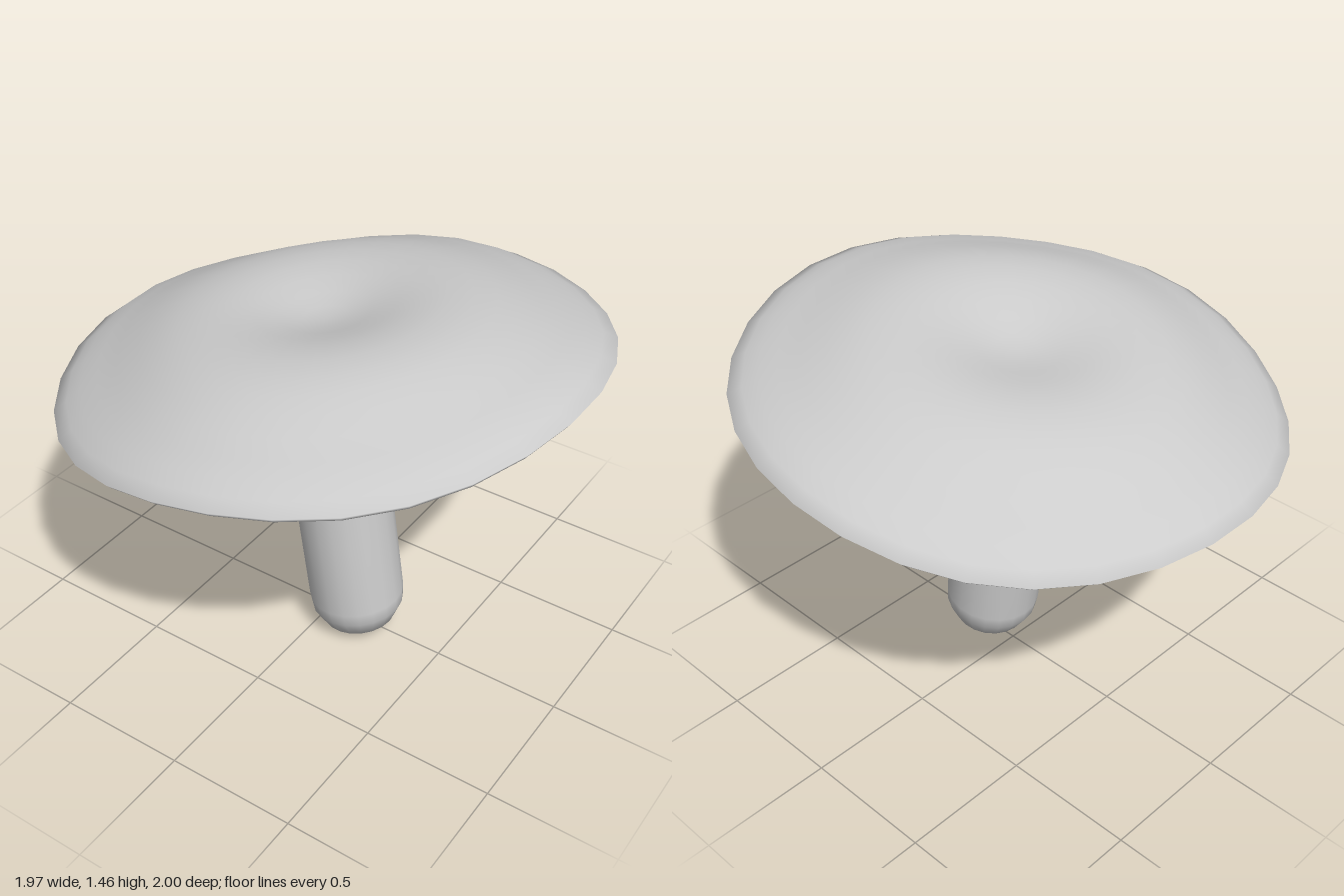
import * as THREE from 'three';
import { mergeVertices } from 'three/addons/utils/BufferGeometryUtils.js';

const material = new THREE.MeshStandardMaterial({ color: 0xcccccc });

// Revolve a profile, optionally bend it, and weld the seam for smooth normals
function revolve(name, points, sides, bend) {
  let geo = new THREE.LatheGeometry(points, sides);
  geo.deleteAttribute('uv');
  geo.deleteAttribute('normal');
  geo = mergeVertices(geo, 1e-4);
  if (bend) {
    const p = geo.attributes.position;
    for (let i = 0; i < p.count; i++) {
      p.setY(i, p.getY(i) + bend(p.getX(i), p.getZ(i)));
    }
  }
  geo.computeVertexNormals();
  const mesh = new THREE.Mesh(geo, material);
  mesh.name = name;
  return mesh;
}

const toPoints = (list) => list.map(([r, y]) => new THREE.Vector2(r, y));

// Uneven droop of the brim, growing toward the edge
function brimDroop(x, z) {
  const weight = THREE.MathUtils.smoothstep(Math.hypot(x, z), 0.45, 0.95);
  const angle = Math.atan2(z, x);
  const frontRight = Math.max(0, Math.cos(angle - 2.15));
  return -weight * (0.015 * Math.sin(angle) ** 2
    + 0.028 * Math.sin(2 * angle) ** 2
    + 0.022 * frontRight ** 6);
}

export function createModel() {
  const model = new THREE.Group();
  model.name = 'mushroom';

  // Cap: flared underside, thin brim, domed top with a central dimple
  const cap = revolve('cap', toPoints([
    [0.14, -0.15], [0.185, -0.115], [0.24, -0.085], [0.31, -0.058],
    [0.42, -0.005], [0.54, 0.035], [0.65, 0.045], [0.76, 0.03],
    [0.86, 0.0], [0.935, -0.03], [0.98, -0.022], [1.0, 0.0],
    [0.95, 0.03], [0.895, 0.066], [0.83, 0.085], [0.75, 0.118], [0.67, 0.145],
    [0.6, 0.168], [0.52, 0.185], [0.43, 0.195], [0.34, 0.192],
    [0.25, 0.178], [0.16, 0.155], [0.08, 0.138], [0, 0.132],
  ]), 30, brimDroop);
  cap.position.set(-0.003, 1.215, 0);
  cap.rotation.z = 0.145;

  // Stem: leaning column with a rounded foot
  const stem = revolve('stem', toPoints([
    [0, 0], [0.06, 0.008], [0.14, 0.05], [0.178, 0.12], [0.183, 0.17],
    [0.183, 0.5], [0.183, 0.8], [0.183, 1.06], [0.18, 1.15], [0, 1.17],
  ]), 20);
  stem.position.set(0.152, 0.009, 0.015);
  stem.rotation.set(0.012, 0, 0.136);

  model.add(cap, stem);
  return model;
}
